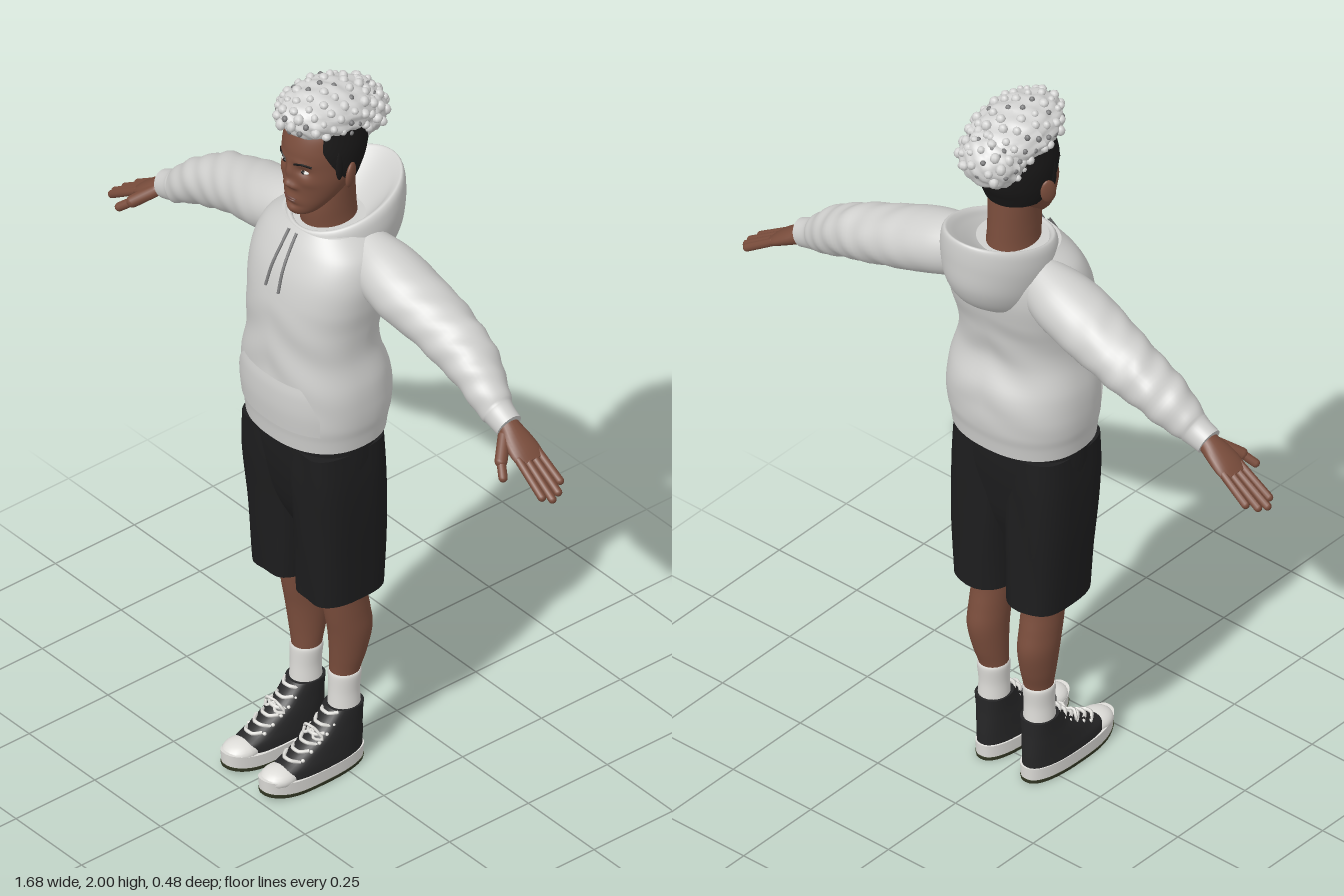
import * as THREE from 'three';
import { mergeGeometries } from 'three/addons/utils/BufferGeometryUtils.js';

const paint = (name, color, side = THREE.FrontSide) => {
  const m = new THREE.MeshStandardMaterial({ color, side });
  m.name = name;
  return m;
};

// Smooth value between rows of numbers
function rowAt(rows, t) {
  const s = t * (rows.length - 1), i = Math.min(Math.floor(s), rows.length - 2), f = s - i;
  const at = (k, c) => rows[Math.max(0, Math.min(rows.length - 1, k))][c] ?? 0;
  return [0, 1, 2, 3, 4].map((c) => {
    const [a, b, d, e] = [at(i - 1, c), at(i, c), at(i + 1, c), at(i + 2, c)];
    return b + 0.5 * f * (d - a + f * (2 * a - 5 * b + 4 * d - e + f * (3 * (b - d) + e - a)));
  });
}

// Loft through rings of [y, halfWidth, zFront, zBack, xCentre]; theta 0 faces the front
function loft(rings, { segs = 36, rows = 32, power = 1, arc = null, cap = true, deform = null } = {}) {
  const pos = [], idx = [], p = new THREE.Vector3();
  const cols = arc ? segs + 1 : segs;
  const bend = (v) => Math.sign(v) * Math.abs(v) ** power;
  for (let r = 0; r <= rows; r++) {
    const t = r / rows, [y, w, zf, zb, cx] = rowAt(rings, t);
    const [a0, a1] = arc ? arc(t) : [0, Math.PI * 2];
    for (let j = 0; j < cols; j++) {
      const a = a0 + (a1 - a0) * j / segs;
      p.set(cx + w * bend(Math.sin(a)), y, (zf + zb) / 2 + (zf - zb) / 2 * bend(Math.cos(a)));
      if (deform) deform(p);
      pos.push(p.x, p.y, p.z);
    }
  }
  for (let r = 0; r < rows; r++) for (let j = 0; j < segs; j++) {
    const a = r * cols + j, b = r * cols + (j + 1) % cols;
    idx.push(a, b, a + cols, b, b + cols, a + cols);
  }
  if (cap && !arc) for (const r of [0, rows]) {
    const start = pos.length / 3, c = [0, 0, 0];
    for (let j = 0; j < cols; j++) for (let k = 0; k < 3; k++) {
      const v = pos[(r * cols + j) * 3 + k];
      pos.push(v);
      c[k] += v / cols;
    }
    pos.push(...c);
    for (let j = 0; j < cols; j++) {
      const a = start + j, b = start + (j + 1) % cols;
      idx.push(start + cols, ...(r ? [a, b] : [b, a]));
    }
  }
  const g = new THREE.BufferGeometry();
  g.setAttribute('position', new THREE.Float32BufferAttribute(pos, 3));
  g.setIndex(idx);
  g.computeVertexNormals();
  return g;
}

function mirrored(geo) {
  const g = geo.clone().scale(-1, 1, 1), ix = g.index.array;
  for (let i = 0; i < ix.length; i += 3) [ix[i], ix[i + 1]] = [ix[i + 1], ix[i]];
  g.computeVertexNormals();
  return g;
}

const V = (x, y, z) => new THREE.Vector3(x, y, z);
const tube = (pts, r, n = 12) => new THREE.TubeGeometry(new THREE.CatmullRomCurve3(pts.map((q) => V(...q))), n, r, 6);
const ball = (x, y, z, a, b, c) => new THREE.SphereGeometry(1, 20, 14).scale(a, b, c).translate(x, y, z);
function finger(a, b, r) {
  const A = V(...a), B = V(...b), d = B.clone().sub(A);
  const g = new THREE.CapsuleGeometry(r, d.length(), 5, 10);
  g.applyQuaternion(new THREE.Quaternion().setFromUnitVectors(V(0, 1, 0), d.normalize()));
  const m = A.add(B).multiplyScalar(0.5);
  return g.translate(m.x, m.y, m.z);
}

export function createModel() {
  const root = new THREE.Group();
  root.name = 'figure';
  const cloth = paint('hoodie grey', 0xcfcfcd, THREE.DoubleSide), skin = paint('skin', 0x7a4d3c);
  const lip = paint('lips', 0x683f35), shortsBlack = paint('shorts black', 0x1d1d1e);
  const darkHair = paint('dark hair', 0x191818, THREE.DoubleSide), lightHair = paint('light hair', 0xd4d4d3);
  const grey = paint('grey', 0x7c7c7d), white = paint('white', 0xdddcd8);
  const canvas = paint('shoe black', 0x262627), olive = paint('outsole', 0x363b27);
  const add = (name, geo, mat) => {
    const m = new THREE.Mesh(geo, mat);
    m.name = name;
    root.add(m);
  };
  const both = (name, geo, mat) => {
    add('left' + name, geo, mat);
    add('right' + name, mirrored(geo), mat);
  };

  // Head, with nose, brow, eye sockets, cheeks and mouth pushed out of the surface
  const bumps = [[0, 1.785, 0.011, 0.024, 0.01], [0, 1.752, 0.014, 0.012, 0.016], [0.017, 1.746, 0.009, 0.008, 0.007],
    [0.036, 1.795, 0.017, 0.011, -0.009], [0.034, 1.82, 0.022, 0.008, 0.004], [0.05, 1.765, 0.018, 0.014, 0.004],
    [0, 1.706, 0.026, 0.014, 0.006], [0, 1.672, 0.02, 0.01, 0.005], [0, 1.688, 0.025, 0.006, -0.004]];
  add('head', loft([[1.65, 0.016, 0.072, 0.02], [1.661, 0.036, 0.084, 0], [1.685, 0.055, 0.088, -0.03],
    [1.72, 0.074, 0.088, -0.07], [1.76, 0.087, 0.09, -0.1], [1.8, 0.092, 0.09, -0.12],
    [1.85, 0.094, 0.088, -0.128], [1.9, 0.085, 0.07, -0.12], [1.93, 0.05, 0.04, -0.09]], {
    segs: 96, rows: 72, deform: (p) => {
      if (p.z < 0.02) return;
      let dz = 0;
      for (const [x, y, sx, sy, h] of bumps)
        for (const s of x ? [-1, 1] : [1]) dz += h * Math.exp(-(((p.x - s * x) / sx) ** 2) - ((p.y - y) / sy) ** 2);
      p.z += dz;
    } }), skin);
  add('neck', loft([[1.54, 0.075, 0.035, -0.12], [1.6, 0.062, 0.042, -0.11], [1.66, 0.06, 0.045, -0.105],
    [1.74, 0.062, 0.03, -0.1]]), skin);
  both('Ear', ball(0, 0, 0, 0.009, 0.035, 0.021).rotateY(0.4).rotateX(-0.15).translate(0.1, 1.778, -0.02), skin);
  both('Eye', ball(0.036, 1.793, 0.0715, 0.013, 0.0045, 0.008), white);
  both('Iris', ball(0.035, 1.793, 0.0765, 0.006, 0.0048, 0.0045), darkHair);
  both('Brow', tube([[0.016, 1.813, 0.09], [0.038, 1.821, 0.085], [0.058, 1.815, 0.069]], 0.003), darkHair);
  add('upperLip', ball(0, 1.709, 0.088, 0.022, 0.004, 0.008), lip);
  add('lowerLip', ball(0, 1.702, 0.088, 0.019, 0.0045, 0.008), lip);

  // Short dark sides and back
  add('shortHair', loft([[1.74, 0.082, 0.075, -0.103], [1.765, 0.09, 0.085, -0.113], [1.8, 0.096, 0.094, -0.127],
    [1.85, 0.098, 0.094, -0.135], [1.91, 0.09, 0.08, -0.13]], {
    arc: (t) => { const a = 1.85 - 0.95 * Math.min(1, t * 1.25); return [a, Math.PI * 2 - a]; } }), darkHair);
  both('Sideburn', ball(0.091, 1.815, 0.008, 0.006, 0.045, 0.012), darkHair);

  // Curly top: overlapping lumpy caps with small curls half sunk into them
  let seed = 7;
  const rand = () => (seed = (seed * 16807) % 2147483647) / 2147483647;
  const light = [], dark = [];
  for (const [center, R, tilt, count] of [[V(0, 1.923, -0.03), V(0.098, 0.066, 0.142), -0.14, 90],
    [V(0, 1.886, -0.113), V(0.084, 0.074, 0.078), 0.2, 55]]) {
    const place = (g) => g.rotateX(tilt).translate(center.x, center.y, center.z);
    const cap = new THREE.SphereGeometry(1, 48, 32), pos = cap.attributes.position, v = V(0, 0, 0);
    for (let i = 0; i < pos.count; i++) {
      v.fromBufferAttribute(pos, i);
      v.multiplyScalar(1 + 0.035 * Math.sin(v.x * 11) * Math.sin(v.y * 13 + 1) + 0.03 * Math.sin(v.z * 17 + v.x * 5));
      pos.setXYZ(i, v.x, v.y, v.z);
    }
    cap.scale(R.x, R.y, R.z).computeVertexNormals();
    light.push(place(cap));
    for (let i = 0; i < count; i++) {
      const y = 1 - 1.45 * (i + 0.5) / count, a = i * 2.39996, s = Math.sqrt(1 - y * y);
      const isDark = rand() < 0.24, r = isDark ? 0.0075 : 0.009 + 0.005 * rand(), k = 0.97 + 0.05 * rand();
      const g = new THREE.SphereGeometry(r, 8, 6).scale(1, 0.8 + 0.4 * rand(), 1);
      g.translate(R.x * k * s * Math.cos(a), R.y * k * y, R.z * k * s * Math.sin(a));
      (isDark ? dark : light).push(place(g));
    }
  }
  add('curlyTop', mergeGeometries(light), lightHair);
  add('greyCurls', mergeGeometries(dark), grey);

  // Hoodie body with hem and soft folds
  add('hoodieBody', loft([[1.02, 0.183, 0.157, -0.143], [1.055, 0.187, 0.161, -0.148], [1.09, 0.193, 0.166, -0.155],
    [1.14, 0.195, 0.167, -0.157], [1.2, 0.191, 0.164, -0.15], [1.28, 0.175, 0.158, -0.122], [1.36, 0.177, 0.155, -0.132],
    [1.43, 0.187, 0.148, -0.15], [1.5, 0.19, 0.13, -0.162], [1.56, 0.172, 0.1, -0.16], [1.605, 0.12, 0.068, -0.14]], {
    segs: 64, rows: 64, power: 0.87, deform: (p) => {
      const k = Math.max(0, 1 - ((p.y - 1.26) / 0.17) ** 2);
      p.z += 0.003 * k * Math.sin(p.y * 45 + Math.abs(p.x) * 30);
    } }), cloth);
  add('pocket', loft([[1.075, 0.192, 0.166, -0.15], [1.13, 0.197, 0.171, -0.155], [1.18, 0.195, 0.17, -0.15],
    [1.21, 0.19, 0.165, -0.14]], { power: 0.87, rows: 16,
    arc: (t) => { const a = 0.85 - 0.45 * Math.max(0, t - 0.3); return [-a, a]; } }), cloth);

  // Hood hanging down the back, folded over at the rim and closing in on the neck
  add('hood', loft([[1.425, 0.06, 0.02, -0.13], [1.455, 0.095, 0.05, -0.2], [1.51, 0.122, 0.068, -0.236],
    [1.58, 0.136, 0.074, -0.243], [1.63, 0.134, 0.073, -0.242], [1.652, 0.124, 0.066, -0.236], [1.648, 0.112, 0.056, -0.222],
    [1.63, 0.1, 0.05, -0.19], [1.605, 0.08, 0.044, -0.145], [1.59, 0.06, 0.035, -0.11]], {
    segs: 48, rows: 54, cap: false, deform: (p) => { p.y -= 0.3 * (p.z + 0.09); } }), cloth);
  both('Drawstring', tube([[0.014, 1.6, 0.08], [0.016, 1.56, 0.104], [0.02, 1.51, 0.13], [0.024, 1.455, 0.147]], 0.004), grey);

  // Sleeves, lofted upright and then swung out to the side
  both('Sleeve', loft([[0, 0.065, -0.005, -0.12], [0.08, 0.079, 0.018, -0.148, -0.005], [0.17, 0.08, 0.022, -0.158, -0.012],
    [0.27, 0.075, 0.005, -0.16, -0.02], [0.37, 0.07, -0.006, -0.155, -0.026], [0.46, 0.06, -0.012, -0.138, -0.02],
    [0.53, 0.049, -0.018, -0.115, -0.006], [0.56, 0.041, -0.024, -0.102, 0], [0.6, 0.037, -0.026, -0.097, 0]], {
    rows: 60, deform: (p) => {
      const k = 0.0045 * Math.min(1, Math.max(0, p.y - 0.1) * 3) * (p.y < 0.55 ? 1 : 0);
      const f = Math.sin(p.y * 62 + p.z * 45) * Math.sin(p.y * 23 + p.x * 40);
      p.x += k * f * (p.x + 0.015) / 0.07;
      p.z += k * f * (p.z + 0.07) / 0.08;
    } }).rotateZ(-Math.PI / 2 - 0.396).translate(0.1, 1.542, 0), cloth);

  // Hands: palm, four fingers and a thumb
  const fingers = [[0.031, 0.098, 0.034], [0.011, 0.114, 0.012], [-0.01, 0.104, -0.013], [-0.03, 0.08, -0.036]];
  const hand = [loft([[-0.04, 0.027, 0.028, -0.027], [0.01, 0.025, 0.029, -0.028], [0.05, 0.022, 0.04, -0.037],
    [0.09, 0.017, 0.044, -0.042], [0.118, 0.01, 0.038, -0.038]], { rows: 16, segs: 24 }),
  ...fingers.map(([z, len, z2]) => finger([0, 0.1, z], [0.003, 0.1 + len + 0.012, z2], 0.0108)),
  finger([0.004, 0.03, 0.025], [0.014, 0.08, 0.066], 0.016), finger([0.014, 0.08, 0.066], [0.02, 0.118, 0.084], 0.0115)];
  hand.forEach((g) => g.deleteAttribute('uv'));
  both('Hand', mergeGeometries(hand).rotateZ(-Math.PI / 2 - 0.55).translate(0.64, 1.315, -0.062), skin);

  // Shorts
  add('shortsTop', loft([[0.7, 0.1, 0.06, -0.06], [0.78, 0.14, 0.1, -0.088], [0.86, 0.168, 0.122, -0.102],
    [0.95, 0.176, 0.135, -0.111], [1.06, 0.17, 0.138, -0.11]], { power: 0.85 }), shortsBlack);
  both('ShortsLeg', loft([[0.545, 0.08, 0.105, -0.11, 0.083], [0.65, 0.084, 0.113, -0.108, 0.0855],
    [0.78, 0.088, 0.122, -0.108, 0.0885], [0.9, 0.089, 0.131, -0.108, 0.089], [1.0, 0.082, 0.132, -0.105, 0.09]], { power: 0.68,
    deform: (p) => { p.z += 0.003 * Math.sin(p.x * 60 + p.y * 12); } }), shortsBlack);

  // Legs and socks
  both('Leg', loft([[0.2, 0.034, 0.014, -0.058, 0.072], [0.27, 0.036, 0.015, -0.062, 0.072], [0.33, 0.042, 0.019, -0.08, 0.077],
    [0.4, 0.047, 0.027, -0.094, 0.081], [0.46, 0.048, 0.038, -0.086, 0.081], [0.53, 0.05, 0.048, -0.075, 0.08],
    [0.62, 0.056, 0.055, -0.08, 0.082]]), skin);
  both('Sock', loft([[0.13, 0.039, 0.022, -0.064, 0.073], [0.17, 0.039, 0.021, -0.064, 0.073], [0.22, 0.037, 0.019, -0.062, 0.073],
    [0.265, 0.04, 0.019, -0.066, 0.073], [0.277, 0.038, 0.017, -0.064, 0.073]]), white);

  // High-top shoes: upper, toe cap, sole, outsole and laces with eyelets
  const spring = (p) => { if (p.z > 0.14) p.y += 1.6 * (p.z - 0.14) ** 2; };
  const upper = [[0.03, 0.05, 0.222, -0.07, 0.073], [0.06, 0.049, 0.207, -0.071, 0.073], [0.082, 0.047, 0.16, -0.071, 0.073],
    [0.11, 0.045, 0.11, -0.07, 0.073], [0.14, 0.043, 0.065, -0.069, 0.073], [0.18, 0.043, 0.028, -0.07, 0.073]];
  both('ShoeUpper', loft(upper, { power: 0.85 }), canvas);
  both('ToeCap', ball(0.073, 0.048, 0.182, 0.044, 0.027, 0.054), white);
  const sole = (y0, y1, s) => loft([[y0, 0.051 * s, 0.237, -0.073, 0.072], [y1, 0.053 * s, 0.24, -0.075, 0.072]],
    { power: 0.82, rows: 4, segs: 48, deform: spring });
  both('Sole', sole(0.008, 0.044, 1), white);
  both('Outsole', sole(0, 0.01, 0.985), olive);
  const laces = [];
  for (let i = 0; i < 6; i++) {
    const [y, , z] = rowAt(upper, 0.42 + i * 0.105), s = i % 2 ? 1 : -1;
    laces.push(tube([[0.046, y - 0.004 * s, z - 0.016], [0.06, y + 0.002, z + 0.003], [0.073, y + 0.003, z + 0.006],
      [0.086, y + 0.002, z + 0.003], [0.1, y + 0.004 * s, z - 0.016]], 0.005));
    for (const x of [0.043, 0.103]) laces.push(ball(x, y, z - 0.021, 0.005, 0.005, 0.005));
  }
  for (const s of [-1, 1]) laces.push(tube([[0.073, 0.14, 0.075], [0.073 + s * 0.02, 0.145, 0.082],
    [0.073 + s * 0.035, 0.125, 0.075], [0.073 + s * 0.018, 0.125, 0.09], [0.073, 0.138, 0.076]], 0.004));
  both('Laces', mergeGeometries(laces), white);
  return root;
}
